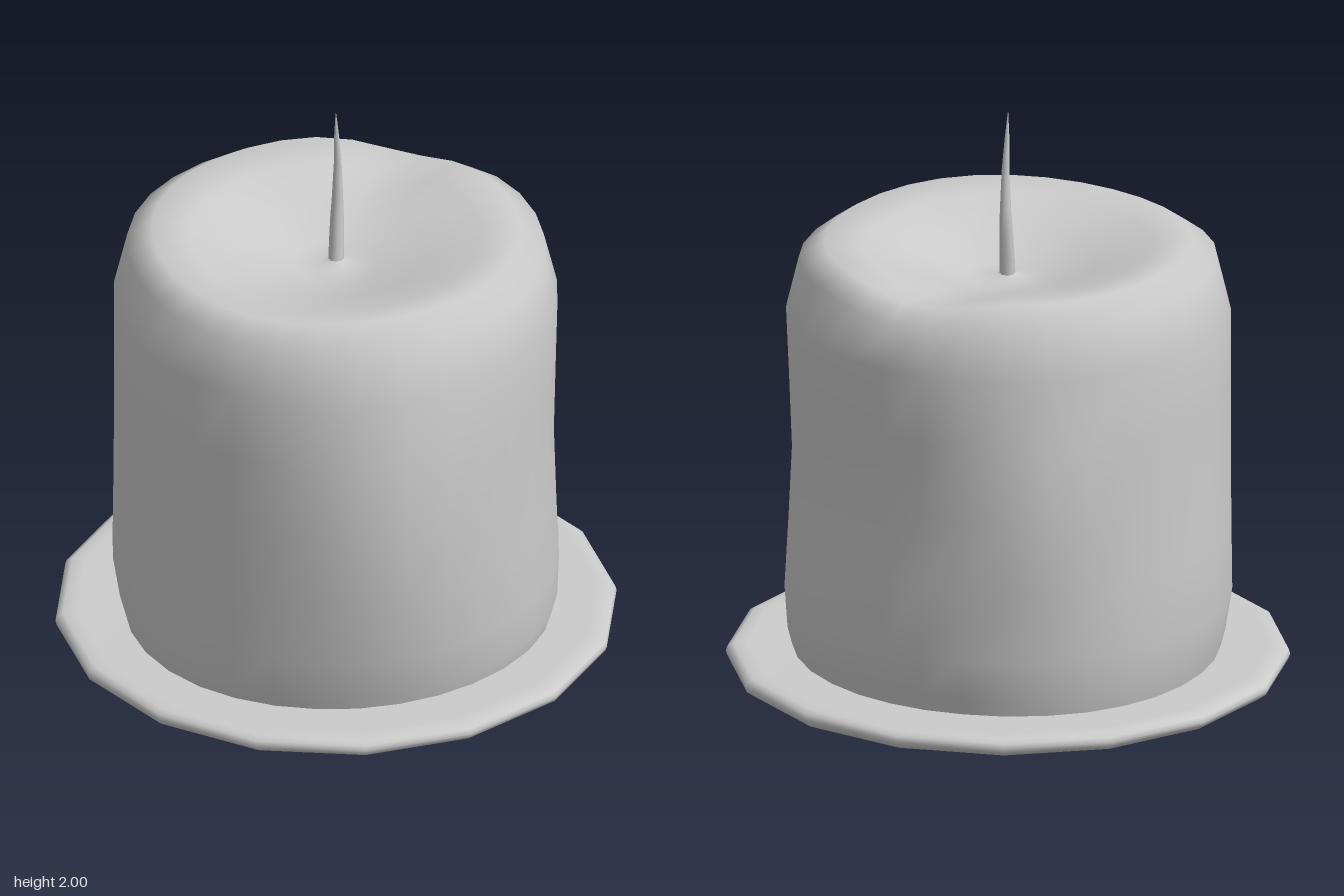
import * as THREE from 'three';

const material = new THREE.MeshStandardMaterial({ color: 0xcccccc, roughness: 0.8 });
const bell = (d, width) => Math.exp(-0.5 * (d / width) ** 2);
// Shortest difference between two angles, in degrees
const turn = (a, b) => ((a - b + 540) % 360) - 180;

// Closed-section surface through rings, listed bottom to top, with shared smooth vertices
function loft(name, rings, sides, pointAt) {
  const positions = [], index = [];
  for (let i = 0; i < rings; i++) {
    for (let j = 0; j < sides; j++) positions.push(...pointAt(i, (j / sides) * 360));
  }
  for (let i = 0; i < rings - 1; i++) {
    for (let j = 0; j < sides; j++) {
      const k = (j + 1) % sides;
      const a = i * sides + j, b = i * sides + k;
      const c = a + sides, d = b + sides;
      index.push(a, c, b, b, c, d);
    }
  }
  const geometry = new THREE.BufferGeometry();
  geometry.setAttribute('position', new THREE.Float32BufferAttribute(positions, 3));
  geometry.setIndex(index);
  geometry.computeVertexNormals();
  const mesh = new THREE.Mesh(geometry, material);
  mesh.name = name;
  return mesh;
}

// Sixteen-sided saucer with a rounded lip and a low foot
function createSaucer() {
  const profile = [
    [0, 0.005], [0.54, 0.005], [0.57, 0], [0.6, 0.005], [0.615, 0.02], [0.88, 0.027],
    [0.925, 0.033], [0.945, 0.048], [0.95, 0.064], [0.945, 0.08], [0.925, 0.092],
    [0.88, 0.095], [0.6, 0.088], [0, 0.088],
  ].map(([x, y]) => new THREE.Vector2(x, y));
  const mesh = new THREE.Mesh(new THREE.LatheGeometry(profile, 16), material);
  mesh.name = 'saucer';
  return mesh;
}

// Wax body: outer wall, rounded rim, then the melted hollow
function createWax() {
  const profile = [
    [0.72, 0.085], [0.737, 0.15], [0.755, 0.3], [0.752, 0.55], [0.75, 0.8], [0.75, 1.05],
    [0.75, 1.3], [0.705, 1.49], [0.62, 1.55], [0.49, 1.53], [0.31, 1.465],
    [0.14, 1.412], [0.05, 1.415], [0.02, 1.43], [0.001, 1.43],
  ];
  return loft('waxBody', profile.length, 32, (i, deg) => {
    let [r, y] = profile[i];
    const a = THREE.MathUtils.degToRad(deg);
    if (i < 8) {
      // Drips swelling at front and back, and a sunken patch on the back left
      r += 0.085 * bell(turn(deg, 84), 17) * bell(y - 0.8, 0.32);
      r += 0.07 * bell(turn(deg, 262), 11) * bell(y - 0.8, 0.13);
      r -= 0.045 * bell(turn(deg, 325), 30) * bell(y - 0.8, 0.24);
      // Uneven foot
      if (i < 2) r += 0.012 * Math.sin(3 * a + 0.5) - 0.03 * bell(turn(deg, 275), 25);
    }
    // Softened, wavy rim with one slumped spot
    if (i >= 7 && i <= 9) {
      y -= 0.012 * (1 + Math.sin(3 * a + 1)) * 0.6;
      y -= 0.05 * bell(turn(deg, 300), 14);
    }
    return [r * Math.cos(a), y, r * Math.sin(a)];
  });
}

// Thin bent wick tapering to a point: x, y, z, radius
function createWick() {
  const path = [
    [0, 1.38, 0, 0.027], [0.003, 1.48, -0.012, 0.026], [0.006, 1.58, -0.024, 0.023],
    [0.008, 1.66, -0.028, 0.019], [0.008, 1.8, -0.02, 0.013], [0.003, 1.91, -0.01, 0.008],
    [0, 2, -0.005, 0.001],
  ];
  return loft('wick', path.length, 8, (i, deg) => {
    const [x, y, z, r] = path[i];
    const a = THREE.MathUtils.degToRad(deg);
    return [x + r * Math.cos(a), y, z + r * Math.sin(a)];
  });
}

export function createModel() {
  const model = new THREE.Group();
  model.name = 'candle';
  model.add(createSaucer(), createWax(), createWick());
  return model;
}
